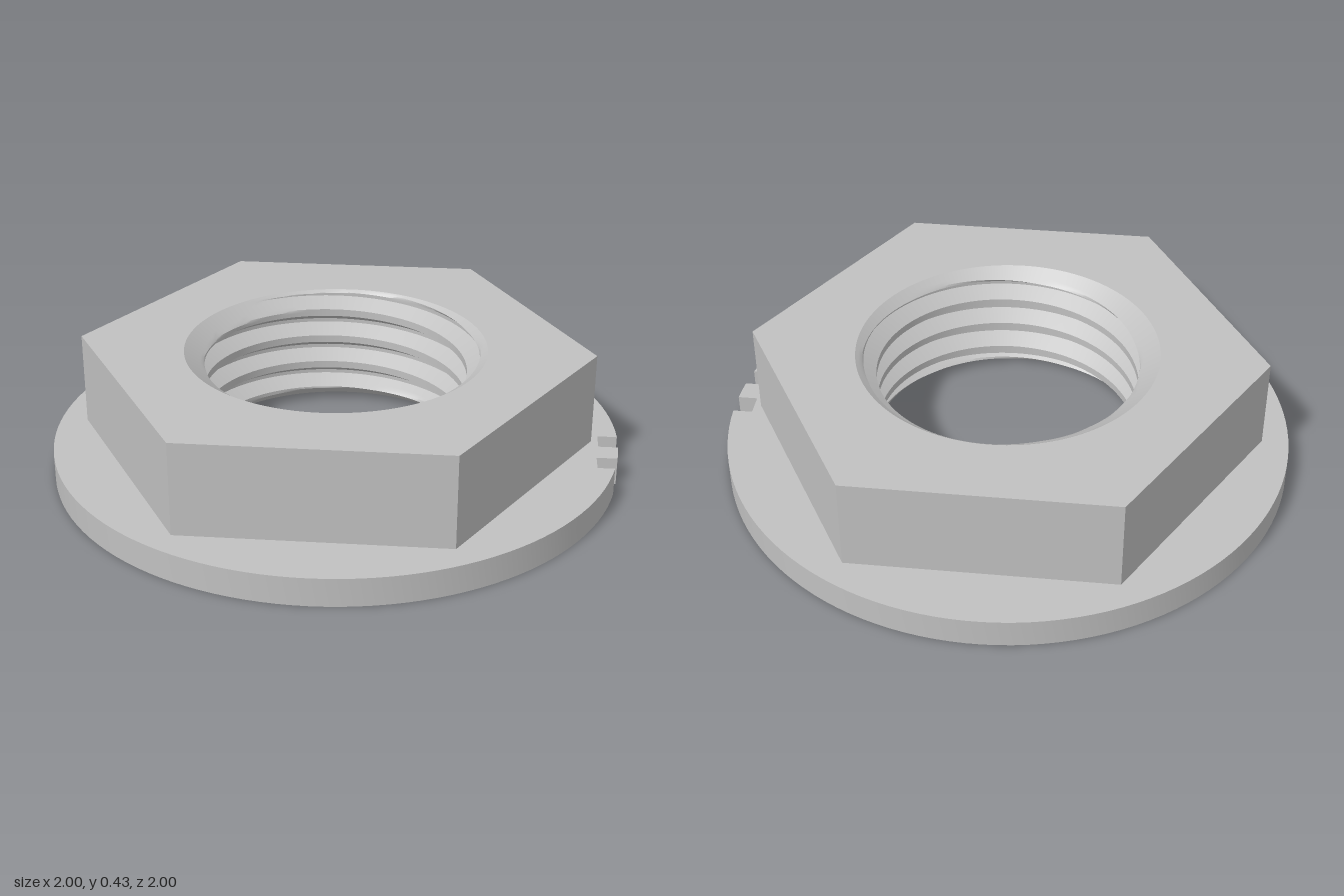
import * as THREE from 'three';
import { toCreasedNormals } from 'three/addons/utils/BufferGeometryUtils.js';

const SEG = 120;            // segments around the circle
const H = 0.43;             // total height
const FLANGE = 0.1;         // flange thickness
const MOUTH = 0.53;         // bore radius at both faces
const MINOR = 0.46, MAJOR = 0.517, PITCH = 0.107;

// Points on an arc in the shape plane
function arc(r, from, to, n) {
  return Array.from({ length: n + 1 }, (_, i) => {
    const a = from + ((to - from) * i) / n;
    return new THREE.Vector2(r * Math.cos(a), r * Math.sin(a));
  });
}

// Upright plate from an outline, with the bore opening cut out
function plate(points, y0, y1) {
  const shape = new THREE.Shape(points);
  shape.holes.push(new THREE.Path(arc(MOUTH, 0, Math.PI * 2, SEG).slice(0, -1)));
  const g = new THREE.ExtrudeGeometry(shape, { depth: y1 - y0, bevelEnabled: false });
  g.rotateX(-Math.PI / 2);
  g.translate(0, y0, 0);
  return toCreasedNormals(g, 0.5);
}

// Round outline with two square notches on the +x edge
function flangeOutline() {
  const rim = (z) => Math.asin(-z);
  const v = (x, z) => new THREE.Vector2(x, -z);
  return [
    ...arc(1, rim(-0.04), Math.PI * 2 + rim(0.2), SEG),
    v(0.92, 0.2), v(0.92, 0.125),
    ...arc(1, rim(0.125), rim(0.04), 4),
    v(0.93, 0.04), v(0.93, -0.04),
  ];
}

// Helical 60 degree thread, opened by a chamfer at both ends
function threadGeometry() {
  // [fraction of pitch, radius]: crest flat, flank, root flat, flank
  const corners = [[0, MINOR], [0.25, MINOR], [0.5625, MAJOR], [0.6875, MAJOR], [1, MINOR]];
  const profile = [];
  for (let c = 0; c < 4; c++) {
    for (let k = 0; k < 4; k++) {
      const t = k / 4, [f0, r0] = corners[c], [f1, r1] = corners[c + 1];
      profile.push([f0 + (f1 - f0) * t, r0 + (r1 - r0) * t]);
    }
  }
  const pos = [], index = [], ys = [];
  const turns = Math.ceil(H / PITCH) + 2, rows = turns * profile.length;
  for (let i = 0; i < rows; i++) {
    const [f, thread] = profile[i % profile.length];
    const turn = Math.floor(i / profile.length) - 1;
    for (let s = 0; s <= SEG; s++) {
      const a = (s / SEG) * Math.PI * 2;
      const y = Math.min(H, Math.max(0, (turn + f + s / SEG) * PITCH));
      const r = Math.max(thread, MOUTH - 1.4 * Math.min(y, H - y));
      pos.push(r * Math.cos(a), y, -r * Math.sin(a));
      ys.push(y);
    }
  }
  const add = (a, b, c) => {
    if (ys[a] === ys[b] && ys[b] === ys[c]) return;
    index.push(a, b, c);
  };
  for (let i = 0; i < rows - 1; i++) {
    for (let s = 0; s < SEG; s++) {
      const a = i * (SEG + 1) + s, b = a + SEG + 1;
      add(a, b, a + 1);
      add(b, b + 1, a + 1);
    }
  }
  const g = new THREE.BufferGeometry();
  g.setAttribute('position', new THREE.Float32BufferAttribute(pos, 3));
  g.setIndex(index);
  return toCreasedNormals(g, 0.5);
}

export function createModel() {
  const steel = new THREE.MeshStandardMaterial({ color: 0xc0c0c0 });
  steel.name = 'steel grey';
  const group = new THREE.Group();
  group.name = 'flangedNut';
  const add = (name, geometry) => {
    const mesh = new THREE.Mesh(geometry, steel);
    mesh.name = name;
    group.add(mesh);
  };
  add('notchedFlange', plate(flangeOutline(), 0, FLANGE));
  add('hexBody', plate(arc(0.906, 0, Math.PI * 2, 6).slice(0, -1), FLANGE, H));
  add('threadedBore', threadGeometry());
  return group;
}
